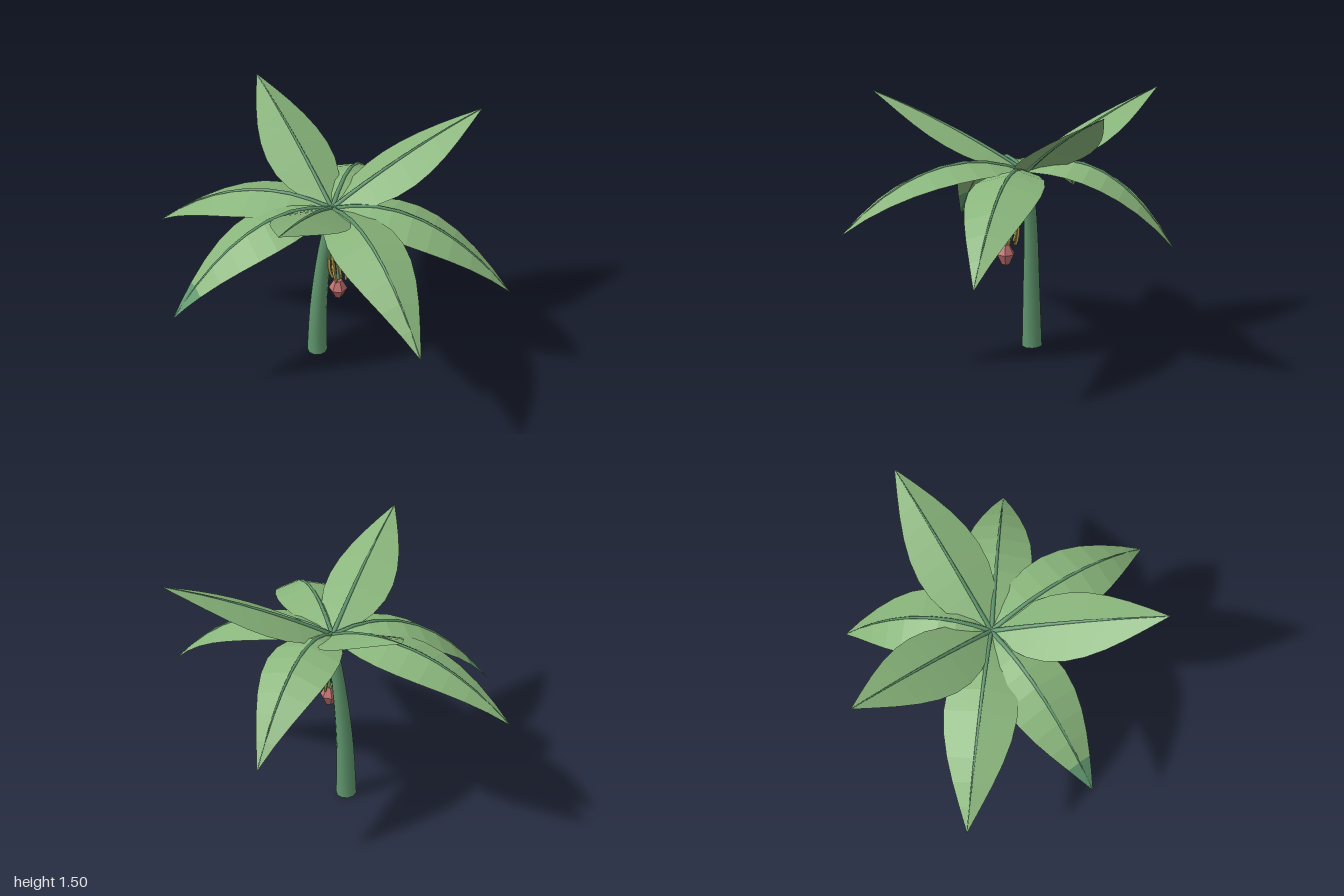
import * as THREE from 'three';

const mat = (name, color, extra = {}) => {
  const m = new THREE.MeshStandardMaterial({ color, ...extra });
  m.name = name;
  return m;
};

const V = (x, y, z) => new THREE.Vector3(x, y, z);
const CROWN = V(0.02, 1.07, -0.02);

// Tapered round tube along a curve, closed at both ends
function taperedTube(points, r0, r1, segs, sides) {
  const curve = new THREE.CatmullRomCurve3(points);
  const pos = [], idx = [];
  const side = V(0, 0, 0), up = V(0, 0, 0);
  const first = curve.getTangentAt(0);
  const ref = Math.abs(first.y) > 0.8 ? V(0, 0, 1) : V(0, 1, 0);
  for (let i = 0; i <= segs; i++) {
    const t = i / segs, c = curve.getPointAt(t), tan = curve.getTangentAt(t);
    side.crossVectors(tan, ref).normalize();
    up.crossVectors(tan, side).normalize();
    const r = r0 + (r1 - r0) * t;
    for (let j = 0; j < sides; j++) {
      const a = (j / sides) * Math.PI * 2;
      const p = c.clone().addScaledVector(side, Math.cos(a) * r).addScaledVector(up, Math.sin(a) * r);
      pos.push(p.x, p.y, p.z);
    }
  }
  for (let i = 0; i < segs; i++) for (let j = 0; j < sides; j++) {
    const k = (j + 1) % sides, a = i * sides + j, b = i * sides + k;
    idx.push(a, b, a + sides, b, b + sides, a + sides);
  }
  // Separate cap vertices keep the end edges sharp
  for (const end of [0, segs]) {
    const base = pos.length / 3;
    for (let j = 0; j < sides * 3; j++) pos.push(pos[end * sides * 3 + j]);
    for (let j = 1; j < sides - 1; j++) {
      if (end === 0) idx.push(base, base + j + 1, base + j);
      else idx.push(base, base + j, base + j + 1);
    }
  }
  const g = new THREE.BufferGeometry();
  g.setAttribute('position', new THREE.Float32BufferAttribute(pos, 3));
  g.setIndex(idx);
  g.computeVertexNormals();
  return g;
}

// Point on a leaf's midrib: outward in a straight line, arching in height
function ribPoint(leaf, t) {
  const [x, y, z, rise] = leaf;
  const fall = y - CROWN.y - rise;
  return V(CROWN.x + (x - CROWN.x) * t, CROWN.y + rise * t + fall * t * t, CROWN.z + (z - CROWN.z) * t);
}

// Pointed blade whose two halves slope down from the midrib
function bladeGeometry(leaf, from, to, segs) {
  const across = V(leaf[2] - CROWN.z, 0, CROWN.x - leaf[0]).normalize();
  const pos = [];
  const row = (t) => {
    const c = ribPoint(leaf, t);
    const w = 0.2 * Math.sin(Math.PI * Math.pow(t, 0.8));
    const edge = (s) => c.clone().addScaledVector(across, s * w).add(V(0, -0.3 * w, 0));
    return [edge(-1), c, edge(1)];
  };
  const quad = (a, b, c, d) => [a, b, c, a, c, d].forEach((p) => pos.push(p.x, p.y, p.z));
  for (let i = 0; i < segs; i++) {
    const a = row(from + ((to - from) * i) / segs);
    const b = row(from + ((to - from) * (i + 1)) / segs);
    quad(a[0], b[0], b[1], a[1]);
    quad(a[1], b[1], b[2], a[2]);
  }
  const g = new THREE.BufferGeometry();
  g.setAttribute('position', new THREE.Float32BufferAttribute(pos, 3));
  g.computeVertexNormals();
  return g;
}

export function createModel() {
  const leafGreen = mat('leafGreen', 0x89b57b, { flatShading: true, side: THREE.DoubleSide });
  const stemGreen = mat('stemGreen', 0x5f966d);
  const tipGreen = mat('tipGreen', 0x5f966d, { flatShading: true, side: THREE.DoubleSide });
  const fruitYellow = mat('fruitYellow', 0xb39d52, { flatShading: true });
  const budPink = mat('budPink', 0xbd6f6e, { flatShading: true });

  const model = new THREE.Group();
  model.name = 'bananaPlant';
  const add = (parent, name, geo, material) => {
    const m = new THREE.Mesh(geo, material);
    m.name = name;
    parent.add(m);
    return m;
  };

  // Leaning trunk
  add(model, 'trunk', taperedTube(
    [V(-0.073, 0, 0), V(-0.062, 0.36, -0.003), V(-0.03, 0.75, -0.02), V(0.022, 1.08, -0.035)],
    0.062, 0.03, 10, 10), stemGreen);

  // Leaves: tip x, y, z and initial rise
  const leaves = [
    [-0.22, 0.69, -0.85, 0.54],
    [0.50, 1.50, -0.81, 0.55],
    [0.99, 0.68, -0.38, 0.42],
    [0.95, 0.815, 0.53, 0.5],
    [0.32, 1.50, 0.85, 0.55],
    [-0.46, 0.61, 0.83, 0.42],
    [-1.0, 0.77, 0.30, 0.36],
    [-0.80, 1.50, -0.41, 0.55],
  ];
  leaves.forEach((leaf, i) => {
    const group = new THREE.Group();
    group.name = 'leaf' + (i + 1);
    const split = i === 5 ? 0.85 : 1; // one leaf has a darker tip
    add(group, 'blade', bladeGeometry(leaf, 0, split, split < 1 ? 8 : 9), leafGreen);
    if (split < 1) add(group, 'bladeTip', bladeGeometry(leaf, split, 1, 2), tipGreen);
    const rib = [0, 0.2, 0.4, 0.6, 0.8, 1].map((t) => ribPoint(leaf, t));
    add(group, 'midrib', taperedTube(rib, 0.014, 0.002, 9, 5), stemGreen);
    model.add(group);
  });

  // Hanging fruit stalk
  add(model, 'fruitStalk', taperedTube(
    [V(0.02, 1.07, -0.01), V(0.065, 0.98, 0.015), V(0.095, 0.84, 0.035), V(0.114, 0.64, 0.05)],
    0.013, 0.009, 8, 6), stemGreen);

  // Ring of slim fruits around the stalk
  const bunch = new THREE.Group();
  bunch.name = 'fruitBunch';
  const fruitGeo = taperedTube(
    [V(0, 0.06, 0), V(0.008, 0.02, 0), V(0.008, -0.025, 0), V(0, -0.06, 0)], 0.012, 0.009, 4, 5);
  for (let i = 0; i < 9; i++) {
    const a = (i / 9) * Math.PI * 2;
    const fruit = add(bunch, 'fruit' + (i + 1), fruitGeo, fruitYellow);
    fruit.position.set(Math.cos(a) * 0.042, i % 2 ? 0.012 : -0.012, Math.sin(a) * 0.045);
    fruit.rotation.y = -a;
  }
  bunch.position.set(0.104, 0.73, 0.038);
  bunch.rotation.z = 0.2;
  model.add(bunch);

  // Faceted flower bud
  const profile = [[0, -0.062], [0.024, -0.06], [0.054, 0], [0.024, 0.056], [0, 0.06]];
  const bud = add(model, 'flowerBud',
    new THREE.LatheGeometry(profile.map(([x, y]) => new THREE.Vector2(x, y)), 6), budPink);
  bud.position.set(0.116, 0.598, 0.053);

  return model;
}
